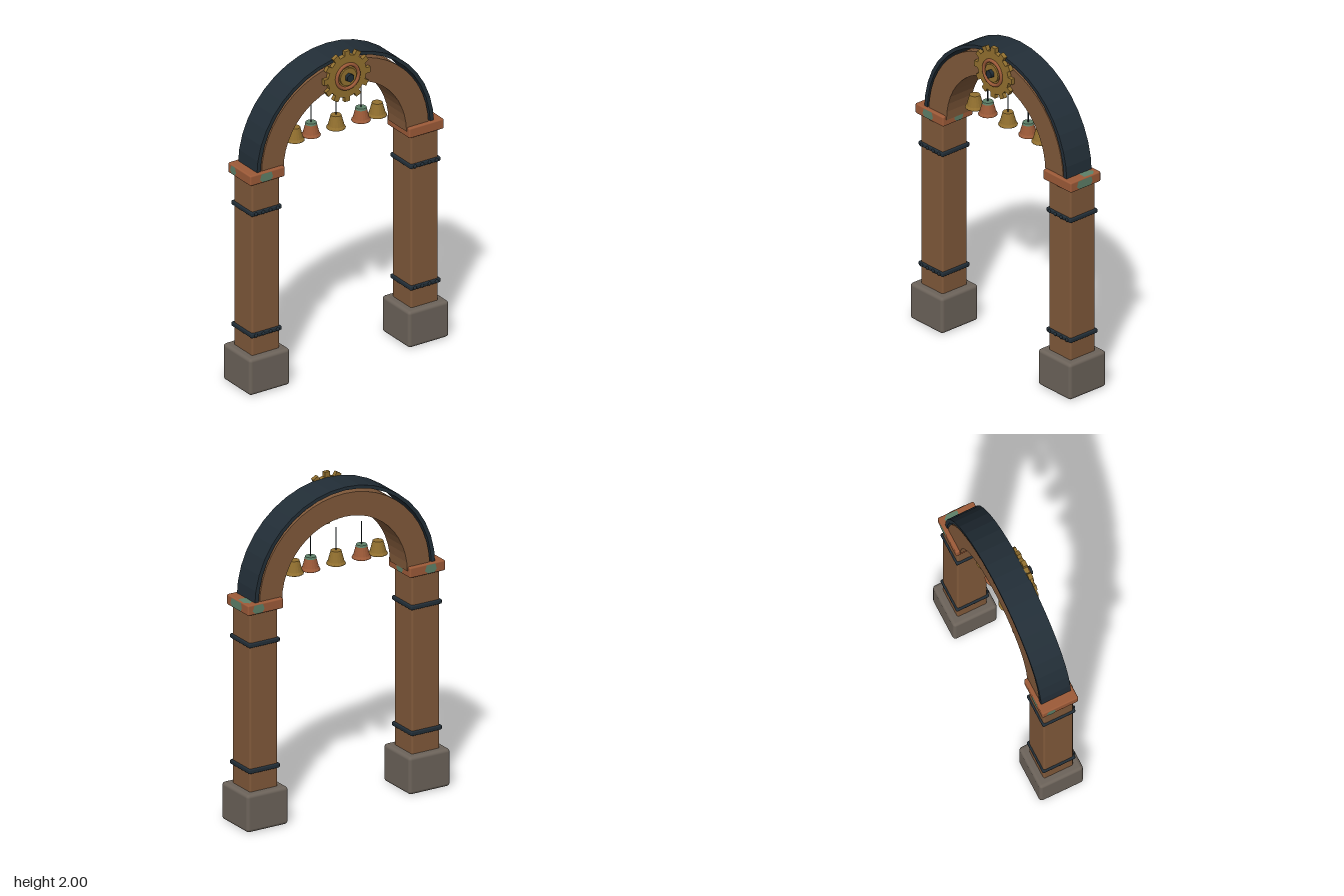
import * as THREE from 'three';
import { RoundedBoxGeometry } from 'three/addons/geometries/RoundedBoxGeometry.js';

const ZC = -0.005; // depth centre of the archway
const ARCH_Y = 1.36;

export function createModel() {
  const mat = (name, color, opts = {}) => {
    const m = new THREE.MeshStandardMaterial({ color, ...opts });
    m.name = name;
    return m;
  };
  const wood = mat('wood', 0x80593a);
  const iron = mat('dark iron', 0x222e37);
  const stone = mat('stone', 0x6c635a);
  const copper = mat('copper', 0x9c5a38);
  const brass = mat('brass', 0x92702f);
  const patina = mat('patina', 0x5e8068, { side: THREE.DoubleSide });

  const root = new THREE.Group();
  root.name = 'archway';

  const add = (parent, name, geo, material, x = 0, y = 0, z = 0) => {
    const mesh = new THREE.Mesh(geo, material);
    mesh.name = name;
    mesh.position.set(x, y, z);
    parent.add(mesh);
    return mesh;
  };
  const box = (w, h, d, r) => new RoundedBoxGeometry(w, h, d, 2, r);

  // Irregular flat patch of patina, u/v given on the face
  const patchGeo = (points) => new THREE.ShapeGeometry(
    new THREE.Shape(points.map(([u, v]) => new THREE.Vector2(u, v))));
  const blob = (u0, u1, h = 0.026) => patchGeo([
    [u0, -h * 0.3], [u0 + 0.02, -h], [u1 - 0.015, -h], [u1, -h * 0.2],
    [u1 - 0.01, h], [u0 + 0.012, h]]);

  // Pillars: stone foot, wooden post, riveted bands, copper capital
  for (const side of [-1, 1]) {
    const pillar = new THREE.Group();
    pillar.name = side > 0 ? 'leftPillar' : 'rightPillar';
    pillar.position.set(side * 0.55, 0, ZC);
    root.add(pillar);

    add(pillar, 'foot', box(0.28, 0.23, 0.28, 0.02), stone, 0, 0.115);
    add(pillar, 'post', box(0.19, 1.11, 0.19, 0.012), wood, 0, 0.775);
    for (const y of [0.357, 1.13]) {
      add(pillar, 'band', box(0.21, 0.028, 0.21, 0.008), iron, 0, y);
      for (let i = 0; i < 4; i++) {
        const rivet = add(pillar, 'rivet', new THREE.SphereGeometry(0.011, 10, 6),
          iron, -0.075 + i * 0.05, y, 0.105);
        rivet.scale.z = 0.9;
      }
    }
    add(pillar, 'capital', box(0.24, 0.064, 0.23, 0.009), copper, 0, 1.353);
  }

  // Patina patches on the capitals: pillar side, face direction, extent
  const patches = [
    [-1, 'front', -0.055, 0.035], [-1, 'left', -0.03, 0.04],
    [-1, 'back', -0.02, 0.06], [-1, 'right', -0.09, -0.03],
    [1, 'left', -0.07, 0.05], [1, 'back', -0.09, -0.01],
  ];
  const turns = { front: 0, left: Math.PI / 2, back: Math.PI, right: -Math.PI / 2 };
  for (const [side, face, u0, u1] of patches) {
    const p = add(root, 'patinaPatch', blob(u0, u1), patina, side * 0.55, 1.353, ZC);
    p.rotation.y = turns[face];
    p.translateZ((face === 'front' || face === 'back' ? 0.115 : 0.12) + 0.0015);
  }
  const topPatch = add(root, 'patinaTopPatch', patchGeo([
    [0.06, 0.0], [0.11, -0.005], [0.115, 0.06], [0.09, 0.085], [0.065, 0.07]]),
    patina, 0.55, 1.3865, ZC);
  topPatch.rotation.x = -Math.PI / 2;

  // Half ring extruded in depth: the wooden arch and its iron cover
  const halfRing = (rxOut, ryOut, rxIn, ryIn, depth, segments) => {
    const s = new THREE.Shape();
    for (let i = 0; i <= segments; i++) {
      const a = (Math.PI * i) / segments;
      const x = rxOut * Math.cos(a), y = ryOut * Math.sin(a);
      if (i) s.lineTo(x, y); else s.moveTo(x, y);
    }
    for (let i = segments; i >= 0; i--) {
      const a = (Math.PI * i) / segments;
      s.lineTo(rxIn * Math.cos(a), ryIn * Math.sin(a));
    }
    s.closePath();
    return new THREE.ExtrudeGeometry(s, { depth, bevelEnabled: false })
      .translate(0, 0, -depth / 2);
  };
  add(root, 'arch', halfRing(0.578, 0.568, 0.425, 0.425, 0.184, 24), wood, 0, ARCH_Y, ZC);
  add(root, 'archCover', halfRing(0.613, 0.608, 0.588, 0.588, 0.19, 20), iron, 0, ARCH_Y, ZC);

  // Gear ornament at the crown
  const gear = new THREE.Group();
  gear.name = 'gear';
  gear.position.set(0, 1.84, 0);
  root.add(gear);
  const front = (geo) => geo.rotateX(Math.PI / 2);
  add(gear, 'gearDisc', front(new THREE.CylinderGeometry(0.132, 0.132, 0.026, 32)), brass, 0, 0, 0.098);
  for (let i = 0; i < 12; i++) {
    const a = (i * Math.PI) / 6;
    const tooth = add(gear, 'gearTooth', new THREE.BoxGeometry(0.036, 0.03, 0.026), brass,
      Math.sin(a) * 0.145, Math.cos(a) * 0.145, 0.098);
    tooth.rotation.z = -a;
  }
  add(gear, 'gearRing', new THREE.TorusGeometry(0.075, 0.011, 8, 32), copper, 0, 0, 0.114);
  add(gear, 'gearBoss', front(new THREE.CylinderGeometry(0.055, 0.055, 0.02, 28)), brass, 0, 0, 0.112);
  const hub = add(gear, 'hubBolt', front(new THREE.CylinderGeometry(0.026, 0.026, 0.035, 6)), iron, 0, 0, 0.1275);
  hub.rotation.z = 0;

  // Row of hanging bells
  const bellProfile = [[0, 0], [0.05, 0], [0.056, 0.003], [0.056, 0.008], [0.048, 0.02],
    [0.04, 0.05], [0.031, 0.085], [0, 0.085]].map(([r, y]) => new THREE.Vector2(r, y));
  const bells = [[-0.285, brass, false], [-0.173, copper, true], [0, brass, true],
    [0.173, copper, true], [0.285, brass, false]];
  for (const [x, material, hung] of bells) {
    const bell = new THREE.Group();
    bell.name = 'bell';
    bell.position.set(x, 1.465, ZC);
    root.add(bell);
    const geo = new THREE.LatheGeometry(bellProfile, 18).toNonIndexed();
    geo.computeVertexNormals();
    add(bell, 'bellBody', geo, material);
    if (material === copper) {
      add(bell, 'bellCrown', new THREE.CylinderGeometry(0.0312, 0.035, 0.012, 18), patina, 0, 0.08);
    }
    if (hung) add(bell, 'bellCord', new THREE.CylinderGeometry(0.004, 0.004, 0.145, 6), iron, 0, 0.1525);
  }

  return root;
}
